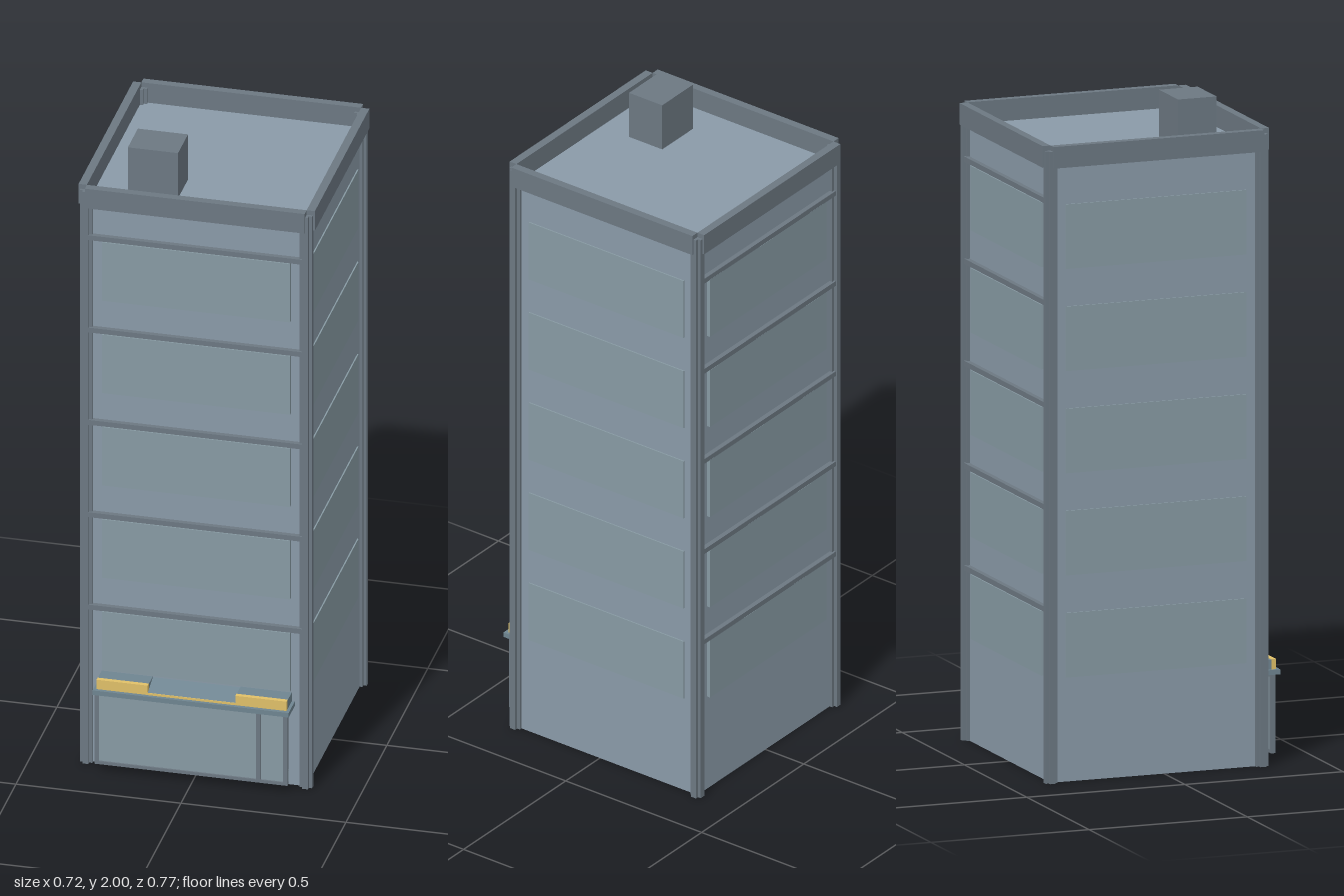
import * as THREE from 'three';

const paint = (color) => new THREE.MeshStandardMaterial({ color });

export function createModel() {
  const model = new THREE.Group();
  const wall = paint(0x8a9aa8), trim = paint(0x6c7882), glass = paint(0x879aa3);
  const steel = paint(0x6f8591), yellow = paint(0xe0c068);

  // Box given by its limits on each axis
  const box = (name, mat, x0, x1, y0, y1, z0, z1) => {
    const mesh = new THREE.Mesh(new THREE.BoxGeometry(x1 - x0, y1 - y0, z1 - z0), mat);
    mesh.position.set((x0 + x1) / 2, (y0 + y1) / 2, (z0 + z1) / 2);
    mesh.name = name;
    model.add(mesh);
    return mesh;
  };

  // Tower body, square in plan
  const H = 0.333, zc = -0.026, front = zc + H, back = zc - H, roof = 1.85;
  box('towerBody', wall, -H, H, 0, roof, back, front);

  // Cross-shaped corner posts
  for (const x of [-H, H]) {
    for (const z of [back, front]) {
      box('cornerPost', trim, x - 0.009, x + 0.009, 0, 1.9, z - 0.019, z + 0.019);
      box('cornerPost', trim, x - 0.019, x + 0.019, 0, 1.9, z - 0.009, z + 0.009);
    }
  }

  // Parapet around the roof
  const top = 1.915, rim = 0.025;
  box('frontParapet', trim, -H, H, roof, top, front, front + rim);
  box('backParapet', trim, -H, H, roof, top, back - rim, back);
  box('leftParapet', trim, H, H + rim, roof, top, back, front);
  box('rightParapet', trim, -H - rim, -H, roof, top, back, front);

  // Rooftop box
  box('roofBox', trim, -0.234, -0.082, roof, 2, 0.083, 0.205);

  // Window bands on all sides, ledges on front and back
  for (let i = 0; i < 5; i++) {
    const y = 0.313 + i * 0.307, y1 = y + 0.194;
    const W = 0.285, out = 0.01, side = 0.004;
    box('frontWindow', glass, -W, W, y, y1, front - 0.01, front + out);
    box('backWindow', glass, -W, W, y, y1, back - out, back + 0.01);
    box('leftWindow', glass, H - 0.01, H + side, y, y1, zc - W, zc + W);
    box('rightWindow', glass, -H - side, -H + 0.01, y, y1, zc - W, zc + W);
    box('frontLedge', trim, -0.324, 0.324, y1 + 0.005, y1 + 0.021, front - 0.01, front + 0.015);
    box('backLedge', trim, -0.324, 0.324, y1 + 0.005, y1 + 0.021, back - 0.015, back + 0.01);
  }

  // Entrance canopy with raised ends and a sloping middle
  box('canopySlab', steel, -0.297, 0.297, 0.262, 0.277, front - 0.01, 0.382);
  for (const [x0, x1] of [[-0.288, -0.133], [0.133, 0.288]]) {
    box('canopyBlock', steel, x0, x1, 0.277, 0.306, front - 0.01, 0.357);
    box('yellowPanel', yellow, x0, x1, 0.277, 0.308, 0.357, 0.371);
  }
  const slope = new THREE.Shape();
  slope.moveTo(-0.37, 0.277);
  slope.lineTo(-0.3, 0.277);
  slope.lineTo(-0.3, 0.306);
  slope.lineTo(-0.37, 0.284);
  const wedge = new THREE.Mesh(
    new THREE.ExtrudeGeometry(slope, { depth: 0.266, bevelEnabled: false }), steel);
  wedge.rotation.y = Math.PI / 2;
  wedge.position.x = -0.133;
  wedge.name = 'canopySlope';
  model.add(wedge);
  box('yellowStrip', yellow, -0.133, 0.133, 0.277, 0.284, 0.369, 0.372);

  // Shop front hanging below the canopy, with a narrow door bay
  const z0 = 0.353, z1 = 0.367;
  box('shopGlass', glass, -0.29, 0.29, 0.03, 0.262, z0 + 0.002, z1 - 0.005);
  for (const x of [-0.29, 0.2, 0.282]) box('shopMullion', trim, x - 0.005, x + 0.008, 0.026, 0.265, z0, z1);
  for (const y of [0.026, 0.254]) box('shopRail', trim, -0.295, 0.29, y, y + 0.01, z0, z1);

  return model;
}
